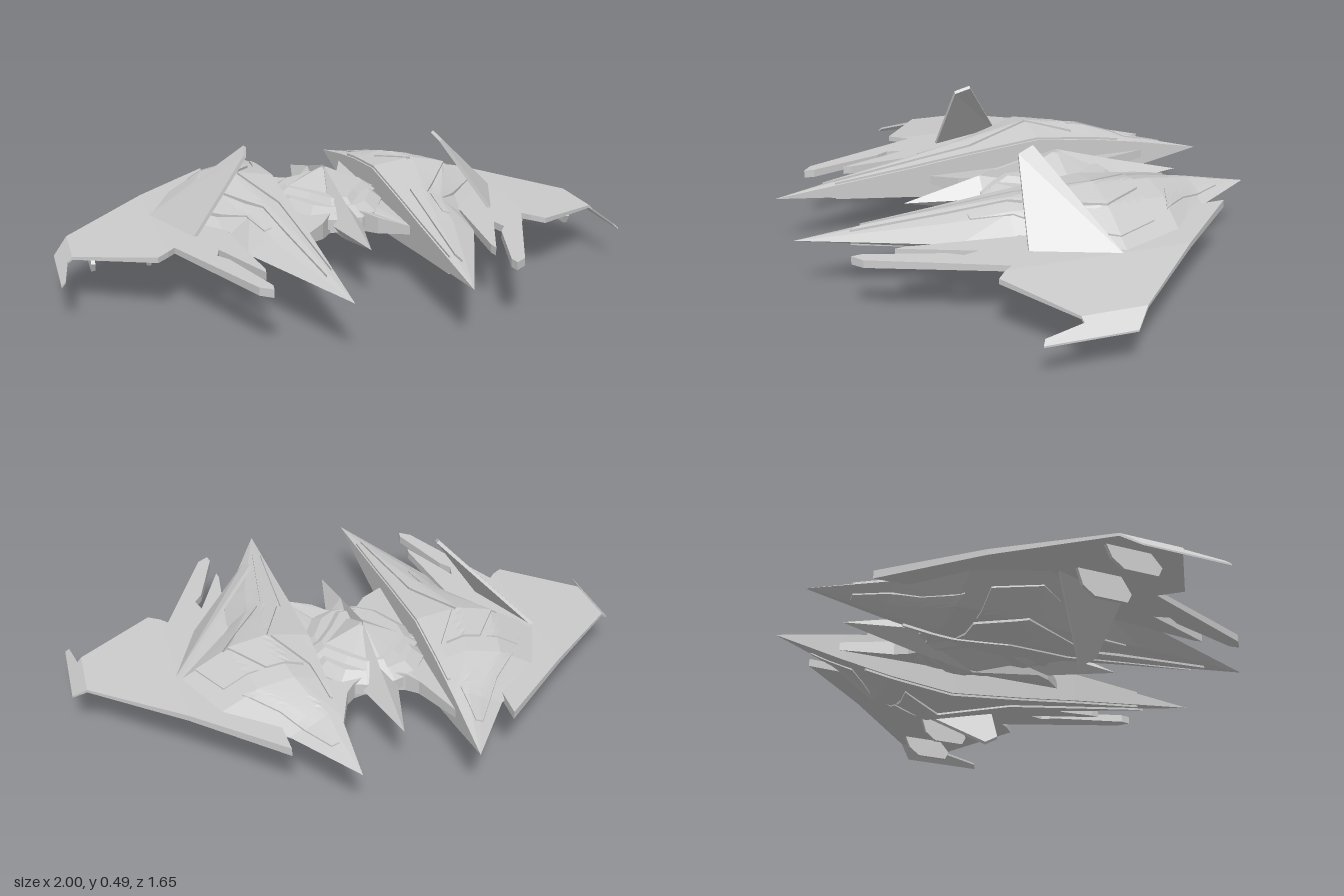
import * as THREE from 'three';

const material = new THREE.MeshStandardMaterial({ color: 0xcccccc, flatShading: true, side: THREE.DoubleSide });
const MID = 0.2; // height of the horizontal symmetry plane
const lerp = THREE.MathUtils.lerp;

// Piecewise-linear lookup in a list of [key, value] pairs with rising keys
function sample(pairs, k) {
  if (k <= pairs[0][0]) return pairs[0][1];
  for (let i = 1; i < pairs.length; i++) {
    const [a, va] = pairs[i - 1], [b, vb] = pairs[i];
    if (k <= b) return b - a < 1e-6 ? vb : lerp(va, vb, (k - a) / (b - a));
  }
  return pairs[pairs.length - 1][1];
}

// Closed solid skinned over equal-length rings of [x, y, z], returned as triangles
function loft(rings) {
  const tris = [], n = rings[0].length, last = rings[rings.length - 1];
  for (let i = 0; i + 1 < rings.length; i++) {
    for (let j = 0; j < n; j++) {
      const k = (j + 1) % n, a = rings[i], b = rings[i + 1];
      tris.push([a[j], a[k], b[k]], [a[j], b[k], b[j]]);
    }
  }
  for (let j = 1; j + 1 < n; j++) {
    tris.push([rings[0][0], rings[0][j + 1], rings[0][j]], [last[0], last[j], last[j + 1]]);
  }
  return tris;
}

// Thin horizontal slab over an [x, z] outline, bent by height and thickness rules
function slab(outline, midY, half) {
  const pts = outline.map(([x, z]) => new THREE.Vector2(x, z));
  if (THREE.ShapeUtils.isClockWise(pts)) pts.reverse();
  const p = (v, s) => [v.x, midY(v.x) + s * half(v.x), v.y];
  const tris = [];
  for (const [a, b, c] of THREE.ShapeUtils.triangulateShape(pts, [])) {
    tris.push([p(pts[a], 1), p(pts[c], 1), p(pts[b], 1)], [p(pts[a], -1), p(pts[b], -1), p(pts[c], -1)]);
  }
  pts.forEach((a, i) => {
    const b = pts[(i + 1) % pts.length];
    tris.push([p(a, -1), p(a, 1), p(b, 1)], [p(a, -1), p(b, 1), p(b, -1)]);
  });
  return tris;
}

// Flat panel through convex 3D corners, with thickness
function panel(corners, t) {
  const [a, b, c] = corners.map((v) => new THREE.Vector3(...v));
  const n = b.clone().sub(a).cross(c.clone().sub(a)).normalize().multiplyScalar(t / 2);
  const shift = (s) => corners.map(([x, y, z]) => [x + s * n.x, y + s * n.y, z + s * n.z]);
  return loft([shift(-1), shift(1)]);
}

// Triangles to mesh, turned outward by the sign of the enclosed volume
function build(name, tris) {
  let volume = 0;
  const faces = tris.map((t) => t.map((v) => new THREE.Vector3(...v))).filter(([a, b, c]) =>
    b.clone().sub(a).cross(c.clone().sub(a)).length() > 1e-9);
  for (const [a, b, c] of faces) volume += a.dot(b.clone().cross(c));
  const ordered = faces.flatMap(([a, b, c]) => (volume < 0 ? [a, c, b] : [a, b, c]));
  const geometry = new THREE.BufferGeometry().setFromPoints(ordered);
  geometry.computeVertexNormals();
  const mesh = new THREE.Mesh(geometry, material);
  mesh.name = name;
  return mesh;
}
const remap = (tris, f) => tris.map((t) => t.map(f));
const flipX = ([x, y, z]) => [-x, y, z];
const flipY = ([x, y, z]) => [x, 2 * MID - y, z];

// Nacelle sections: z, then inner, ridge, shoulder and outer points as [x, y]
const tip = [[0.19, MID], [0.19, MID], [0.19, MID], [0.19, MID]];
const sections = [
  [-0.83, tip],
  [-0.58, [[0.19, 0.25], [0.235, 0.256], [0.28, 0.24], [0.36, MID]]],
  [-0.40, [[0.19, 0.28], [0.30, 0.305], [0.42, 0.28], [0.56, MID]]],
  [-0.17, [[0.19, 0.305], [0.34, 0.329], [0.47, 0.303], [0.655, MID]]],
  [0.13, [[0.19, 0.275], [0.29, 0.288], [0.35, 0.265], [0.43, MID]]],
  [0.32, [[0.19, 0.252], [0.25, 0.263], [0.32, 0.245], [0.40, MID]]],
  [0.82, tip],
];
function hullY(x, z) {
  const row = [0, 1, 2, 3].map((i) => [0, 1].map((c) => sample(sections.map(([s, p]) => [s, p[i][c]]), z)));
  return sample(row, x);
}

// Raised armour between two [x, z] edges, following the nacelle skin
function armour(edgeA, edgeB, lift = 0.008) {
  const rings = [], across = 6, steps = 4;
  for (let i = 0; i + 1 < edgeA.length; i++) {
    for (let s = i ? 1 : 0; s <= steps; s++) {
      const at = (e, c) => lerp(e[i][c], e[i + 1][c], s / steps);
      const ring = [];
      for (let j = 0; j <= across; j++) {
        const x = lerp(at(edgeA, 0), at(edgeB, 0), j / across), z = lerp(at(edgeA, 1), at(edgeB, 1), j / across);
        ring.push([x, hullY(x, z) + lift, z]);
      }
      const [a, b] = [ring[0], ring[across]];
      ring.push([b[0], b[1] - 0.03, b[2]], [a[0], a[1] - 0.03, a[2]]);
      rings.push(ring);
    }
  }
  return loft(rings);
}

export function createModel() {
  const model = new THREE.Group();
  const add = (name, tris) => model.add(build(name, tris));
  const addPair = (name, tris) => {
    add(name + 'Left', tris);
    add(name + 'Right', remap(tris, flipX));
  };

  // Nacelles
  addPair('nacelle', loft(sections.map(([z, p]) => [
    ...p.map(([x, y]) => [x, y, z]),
    ...p.slice(0, 3).reverse().map(([x, y]) => [x, 2 * MID - y, z]),
  ])));

  // Armour plates, above and below
  const plates = {
    innerArmour: armour([[0.195, -0.5], [0.195, -0.33], [0.195, -0.17], [0.195, 0.08], [0.195, 0.6]],
      [[0.205, -0.5], [0.23, -0.33], [0.325, -0.17], [0.235, 0.08], [0.2, 0.6]]),
    ridgeArmour: armour([[0.25, -0.33], [0.34, -0.17], [0.25, 0.08], [0.215, 0.6]],
      [[0.375, -0.32], [0.475, -0.17], [0.30, 0.12], [0.225, 0.64]]),
    shoulderArmour: armour([[0.40, -0.32], [0.495, -0.17], [0.365, 0.04], [0.312, 0.12], [0.305, 0.26]],
      [[0.52, -0.32], [0.59, -0.17], [0.43, 0.04], [0.36, 0.12], [0.33, 0.26]], 0.005),
    tailArmour: armour([[0.225, -0.69], [0.225, -0.54], [0.27, -0.49], [0.36, -0.43]],
      [[0.25, -0.69], [0.33, -0.56], [0.37, -0.5], [0.47, -0.39]], 0.005),
  };
  for (const [name, tris] of Object.entries(plates)) {
    addPair(name + 'Upper', tris);
    addPair(name + 'Lower', remap(tris, flipY));
  }

  // Wings with forward prongs and drooped tips
  const wingY = (x) => sample([[0.65, MID], [0.95, 0.172], [1, 0.125]], x);
  const wingHalf = (x) => sample([[0.4, 0.014], [0.65, 0.01], [0.95, 0.005], [1, 0.003]], x);
  addPair('innerWing', slab([[0.37, -0.66], [0.65, -0.39], [0.65, 0.245], [0.625, 0.215], [0.44, 0.645],
    [0.40, 0.675], [0.395, 0.64], [0.475, 0.38], [0.505, 0.335], [0.49, 0.28], [0.39, 0.53], [0.385, 0.5],
    [0.425, 0.13], [0.35, 0], [0.3, -0.45], [0.34, -0.49], [0.375, -0.53]], wingY, wingHalf));
  addPair('outerWing', slab([[0.65, -0.39], [0.95, -0.1], [0.95, 0.115], [0.69, 0.28], [0.65, 0.245]], wingY, wingHalf));
  addPair('wingTip', slab([[0.95, -0.1], [1, -0.05], [1, 0.25], [0.985, 0.24], [0.965, 0.11], [0.95, 0.115]], wingY, wingHalf));

  // Fins leaning inward
  addPair('upperFin', panel([[0.655, 0.2, -0.155], [0.342, 0.49, 0.045], [0.355, 0.47, 0.1], [0.545, 0.2, 0.13]], 0.012));
  addPair('lowerFin', panel([[0.655, 0.2, -0.155], [0.395, 0.004, 0.045], [0.408, 0.038, 0.1], [0.545, 0.2, 0.13]], 0.012));

  // Small pylons under the wings
  for (const [x, top] of [[0.69, 0.195], [0.88, 0.175]]) {
    addPair('pylon', panel([[x, top, 0.04], [x, 0.13, 0.08], [x, 0.1, 0.065], [x, 0.1, -0.05], [x, 0.13, -0.09], [x, top, -0.11]], 0.014));
  }

  // Central bridge between the nacelles
  const whole = (half) => [...half, ...half.map(([x, z]) => [-x, z]).reverse()];
  add('bridge', slab(whole([[0.05, -0.36], [0.09, -0.38], [0.125, -0.42], [0.19, -0.6], [0.19, 0.25], [0.1, 0.17],
    [0.055, 0.1]]), () => MID, (x) => lerp(0.045, 0.015, Math.abs(x) / 0.19)));

  // Stepped canopy tiers, shallower on the underside
  const tiers = [
    ['lowerTier', [[0.05, -0.39], [0.13, -0.36], [0.19, -0.27], [0.19, -0.06], [0.12, 0.08], [0.055, 0.13]], 0.222, 0.8, 0.25],
    ['middleTier', [[0.04, -0.37], [0.11, -0.3], [0.19, -0.2], [0.19, -0.14], [0.11, -0.03], [0.04, 0.09]], 0.235, 0.75, 0.268],
    ['canopy', [[0.03, -0.36], [0.085, -0.3], [0.19, -0.17], [0.085, -0.04], [0.03, 0.03]], 0.24, 0.08, 0.325],
  ];
  for (const [name, half, y0, shrink, y1] of tiers) {
    const ring = (s, y) => whole(half).map(([x, z]) => [x * s, y, -0.17 + (z + 0.17) * s]);
    const tris = loft([ring(1, MID), ring(1, y0), ring(shrink, y1)]);
    add(name + 'Upper', tris);
    add(name + 'Lower', remap(tris, ([x, y, z]) => [x, MID - (y - MID) * 0.75, z]));
  }

  // Long central spine with a pinched waist
  const spine = [[-0.65, 0, 0, 0], [-0.39, 0.06, 0.07, 0.06], [-0.17, 0.02, 0.135, 0.1], [0.12, 0.055, 0.07, 0.06], [0.4, 0, 0, 0]];
  add('spine', loft(spine.map(([z, w, up, down]) => [[w, MID, z], [0, MID + up, z], [-w, MID, z], [0, MID - down, z]])));

  return model;
}
